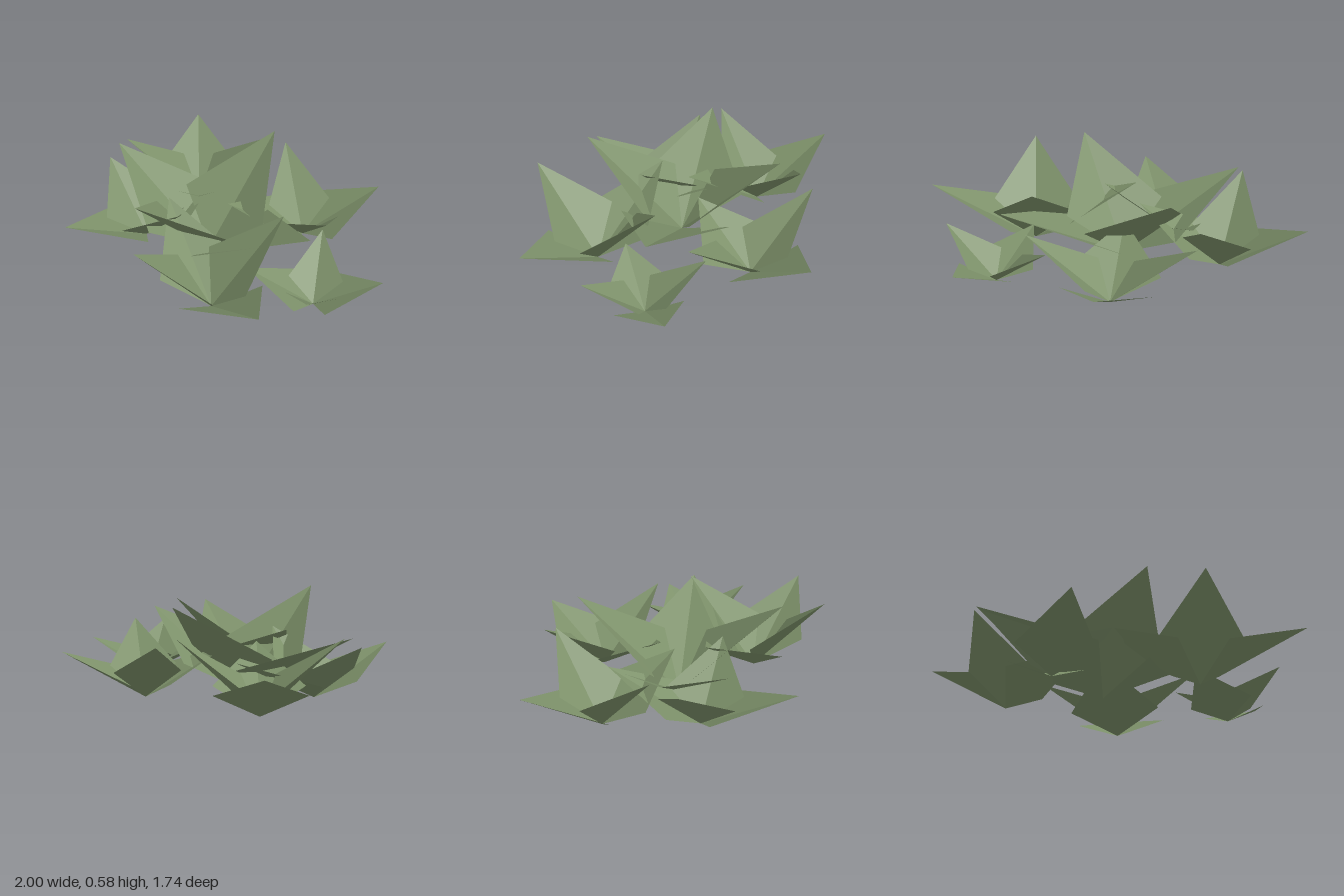
import * as THREE from 'three';

const green = new THREE.MeshStandardMaterial({
  name: 'leafGreen', color: 0x7c9069, flatShading: true, side: THREE.DoubleSide,
});

// V-folded kite leaf growing along +z from the origin
function leafGeometry(tip, corner) {
  const [tz, ty] = tip, [cx, cy, cz] = corner;
  const g = new THREE.BufferGeometry();
  g.setAttribute('position', new THREE.Float32BufferAttribute([
    0, 0, 0, cx, cy, cz, 0, ty, tz, // one half
    0, 0, 0, 0, ty, tz, -cx, cy, cz, // other half
  ].map((v) => v), 3));
  // wind both halves so that the upper side is the front
  g.setIndex([0, 2, 1, 3, 5, 4]);
  const flat = g.toNonIndexed();
  flat.computeVertexNormals();
  return flat;
}

const steepLeaf = leafGeometry([0.6, 0.58], [0.325, 0.26, 0.13]);
const longLeaf = leafGeometry([0.8, 0.43], [0.34, 0.195, 0.18]);

// Rosette: two steep leaves along z, two long leaves along x
function rosette(x, z, [dx, dz], [sx, sy, sz]) {
  const g = new THREE.Group();
  g.name = 'rosette';
  for (let i = 0; i < 4; i++) {
    const leaf = new THREE.Mesh(i % 2 ? longLeaf : steepLeaf, green);
    leaf.name = i % 2 ? 'longLeaf' : 'steepLeaf';
    leaf.rotation.y = (i * Math.PI) / 2;
    g.add(leaf);
  }
  g.position.set(x, 0, z);
  g.rotation.y = Math.atan2(-dz, dx);
  g.scale.set(sx, sy, sz);
  return g;
}

export function createModel() {
  const model = new THREE.Group();
  model.name = 'leafCluster';
  // centre x, centre z, direction of the long leaves, scale
  const plants = [
    [-0.17, 0.03, [1, 0], [1, 1, 1]],
    [0.16, -0.48, [0.28, -0.395], [0.605, 0.67, 0.82]],
    [0.25, 0.45, [0.59, 0.25], [0.8, 0.87, 0.76]],
    [0.67, 0.03, [0.33, -0.21], [0.49, 0.48, 0.61]],
    [-0.635, -0.355, [-0.365, -0.37], [0.65, 0.753, 0.767]],
    [-0.56, 0.2, [-0.115, 0.55], [0.7, 0.63, 0.69]],
  ];
  for (const p of plants) model.add(rosette(...p));
  return model;
}
